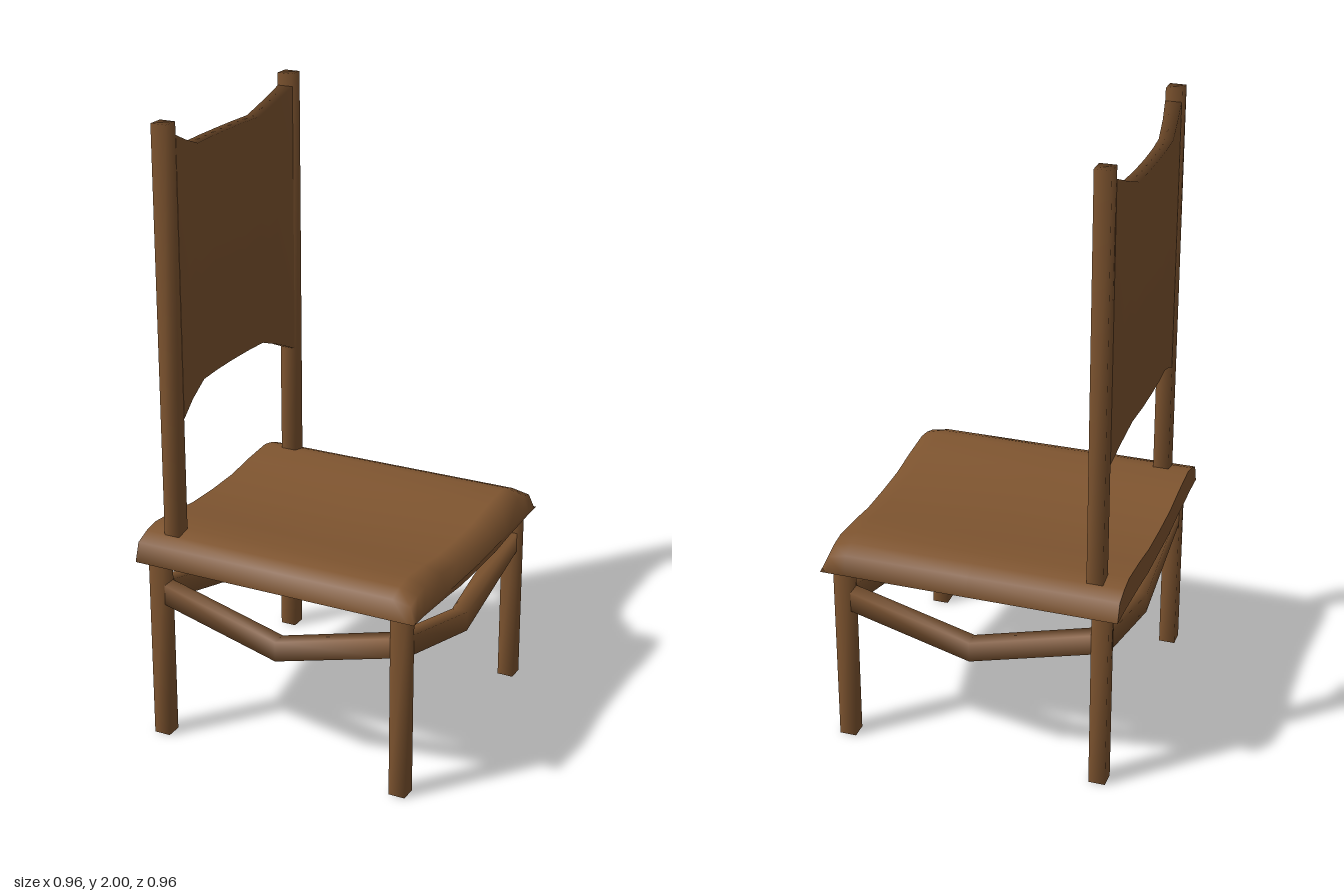
import * as THREE from 'three';
import { mergeVertices } from 'three/addons/utils/BufferGeometryUtils.js';

const wood = new THREE.MeshStandardMaterial({ color: 0x7f5530 });

function add(group, name, geometry, x = 0, y = 0, z = 0, turn = 0) {
  const mesh = new THREE.Mesh(geometry, wood);
  mesh.name = name;
  mesh.position.set(x, y, z);
  mesh.rotation.y = turn;
  group.add(mesh);
}

// Box whose corners share normals, so its edges shade softly
function softBox(w, h, d) {
  const g = new THREE.BoxGeometry(w, h, d);
  g.deleteAttribute('normal');
  g.deleteAttribute('uv');
  const soft = mergeVertices(g);
  soft.computeVertexNormals();
  return soft;
}

// Skin over cross-sections [z, counter-clockwise outline of [x, y]], with flat caps
function loft(sections) {
  const n = sections[0][1].length, pos = [], idx = [];
  const addRing = ([z, outline]) => outline.forEach(([x, y]) => pos.push(x, y, z));
  sections.forEach(addRing);
  for (let i = 0; i < sections.length - 1; i++) {
    for (let j = 0; j < n; j++) {
      const a = i * n + j, b = i * n + (j + 1) % n;
      idx.push(a, b, b + n, a, b + n, a + n);
    }
  }
  [sections[0], sections[sections.length - 1]].forEach((section, end) => {
    const start = pos.length / 3, [z, outline] = section;
    addRing(section);
    const mean = k => outline.reduce((s, p) => s + p[k], 0) / n;
    pos.push(mean(0), mean(1), z);
    for (let j = 0; j < n; j++) {
      const a = start + j, b = start + (j + 1) % n;
      idx.push(start + n, end ? a : b, end ? b : a);
    }
  });
  const g = new THREE.BufferGeometry();
  g.setAttribute('position', new THREE.Float32BufferAttribute(pos, 3));
  g.setIndex(idx);
  g.computeVertexNormals();
  return g;
}

// Saddle seat: dished across its width, rolled down at the front edge
function seatGeometry() {
  const half = [ // across, top, bottom
    [0, 0.672, 0.59], [0.13, 0.675, 0.59], [0.24, 0.69, 0.6],
    [0.36, 0.7, 0.607], [0.41, 0.69, 0.61], [0.46, 0.67, 0.61],
  ];
  const full = [...half.slice(1).reverse().map(([u, t, b]) => [-u, t, b]), ...half];
  const section = rise => [
    [-0.48, 0.61],
    ...full.map(([u, , b]) => [u, b]),
    [0.48, 0.61],
    ...full.map(([u, t, b]) => [u, b + (t - b) * rise]).reverse(),
  ];
  return loft([[-0.48, 1], [0, 1], [0.4, 1], [0.46, 0.8], [0.48, 0.1]]
    .map(([d, rise]) => [d, section(rise)]));
}

// Curved back panel, lofted from one post to the other
function backGeometry() {
  const half = [ // across, rear x, front x, bottom, top
    [0, -0.437, -0.395, 1.14, 1.895], [0.1, -0.436, -0.393, 1.14, 1.895],
    [0.19, -0.432, -0.387, 1.14, 1.895], [0.28, -0.422, -0.375, 1.107, 1.927],
    [0.36, -0.412, -0.36, 1.07, 1.96],
  ];
  const full = [...half.slice(1).reverse().map(([z, ...r]) => [-z, ...r]), ...half];
  return loft(full.map(([z, r, f, b, t]) => [z, [[r, b], [f, b], [f, t], [r, t]]]));
}

// Stretcher bar that dips in the middle
function stretcherGeometry(reach) {
  const bar = y => [[-0.026, y - 0.033], [0.026, y - 0.033], [0.026, y + 0.033], [-0.026, y + 0.033]];
  return loft([[-reach, bar(0.505)], [0, bar(0.397)], [reach, bar(0.505)]]);
}

export function createModel() {
  const chair = new THREE.Group();
  chair.name = 'chair';

  add(chair, 'seat', seatGeometry(), 0, 0, 0, Math.PI / 2);
  add(chair, 'backPanel', backGeometry());

  for (const s of [-1, 1]) {
    add(chair, 'backPost', softBox(0.052, 1.32, 0.052), -0.387, 1.34, s * 0.385);
    for (const f of [-1, 1]) add(chair, 'leg', softBox(0.054, 0.61, 0.054), f * 0.419, 0.305, s * 0.43);
    add(chair, 'sideStretcher', stretcherGeometry(0.4), 0, 0, s * 0.43, Math.PI / 2);
    add(chair, s > 0 ? 'frontStretcher' : 'rearStretcher', stretcherGeometry(0.41), s * 0.419, 0, 0);
  }
  return chair;
}
